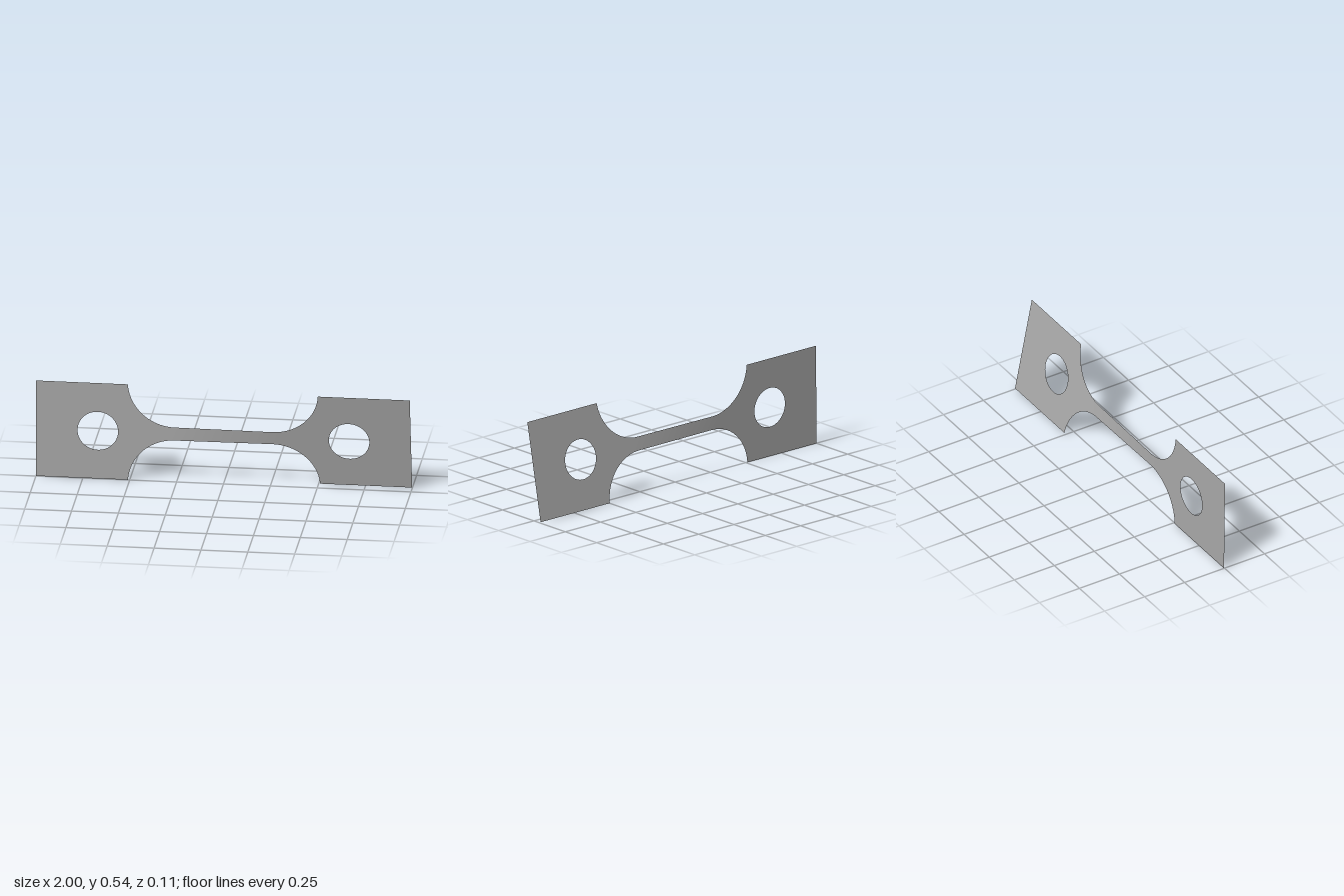
import * as THREE from 'three';

const HALF = 0.271;          // half height of the grip plates
const NECK = 0.037;          // half height of the narrow bar
const R = 0.25;              // fillet radius
const BAR = 0.26;            // half length of the straight bar
const DROP = Math.acos((R + NECK - HALF) / R); // fillet arc angle
const EDGE = BAR + R * Math.sin(DROP);         // where a grip plate begins
const TILT = { left: THREE.MathUtils.degToRad(11.2), right: THREE.MathUtils.degToRad(0.6) };

// Twist about the long axis, spread over the bar
function twist(x) {
  const t = THREE.MathUtils.clamp((x + 0.3) / 0.6, 0, 1);
  return THREE.MathUtils.lerp(TILT.right, TILT.left, t);
}

// Flat grip plate with a round pin hole, tilted as a whole
function gripPlate(side, tilt, material) {
  const mid = side * (1 + EDGE) / 2, half = (1 - EDGE) / 2;
  const shape = new THREE.Shape();
  shape.moveTo(mid - half, -HALF);
  shape.lineTo(mid + half, -HALF);
  shape.lineTo(mid + half, HALF);
  shape.lineTo(mid - half, HALF);
  shape.closePath();
  const hole = new THREE.Path();
  hole.absarc(side * 0.67, 0, 0.108, 0, Math.PI * 2, true);
  shape.holes.push(hole);
  const mesh = new THREE.Mesh(new THREE.ShapeGeometry(shape, 32), material);
  mesh.rotation.x = tilt;
  return mesh;
}

// Narrow bar with a fillet at each end, twisted along its length
function twistedNeck(material) {
  const stations = [];
  for (let i = 0; i <= 20; i++) {
    const a = DROP * (1 - i / 20);
    stations.push([-BAR - R * Math.sin(a), NECK + R * (1 - Math.cos(a))]);
  }
  for (let i = 1; i < 24; i++) stations.push([-BAR + 2 * BAR * i / 24, NECK]);
  for (let i = 20; i >= 0; i--) stations.push([-stations[i][0], stations[i][1]]);

  const n = stations.length, rows = 6;
  const geometry = new THREE.PlaneGeometry(1, 1, n - 1, rows);
  const pos = geometry.attributes.position;
  for (let i = 0; i < pos.count; i++) {
    const [x, h] = stations[i % n];
    const y = pos.getY(i) * 2 * h, a = twist(x);
    pos.setXYZ(i, x, y * Math.cos(a), y * Math.sin(a));
  }
  geometry.computeVertexNormals();
  return new THREE.Mesh(geometry, material);
}

export function createModel() {
  const steel = new THREE.MeshStandardMaterial({ color: 0xa8a8a8, side: THREE.DoubleSide });
  steel.name = 'grey steel';

  const group = new THREE.Group();
  group.name = 'twistedTensileSpecimen';
  const leftGrip = gripPlate(1, TILT.left, steel);
  leftGrip.name = 'leftGripPlate';
  const rightGrip = gripPlate(-1, TILT.right, steel);
  rightGrip.name = 'rightGripPlate';
  const neck = twistedNeck(steel);
  neck.name = 'twistedNeck';
  for (const part of [leftGrip, rightGrip, neck]) {
    part.position.y = HALF;
    group.add(part);
  }
  return group;
}
